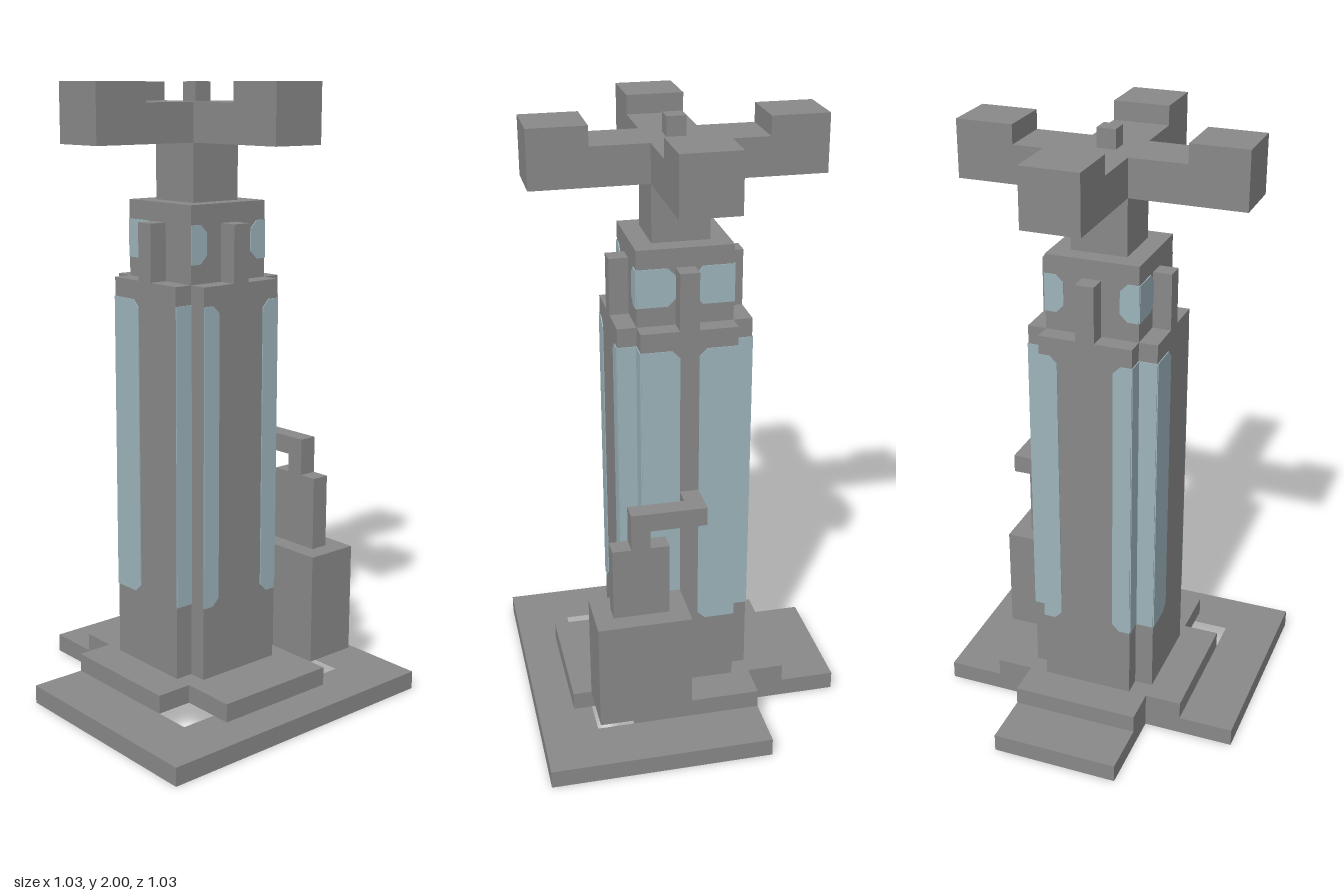
import * as THREE from 'three';

const U = 2 / 33; // one grid cell; all numbers below are in cells

export function createModel() {
  const model = new THREE.Group();
  const stone = new THREE.MeshStandardMaterial({ color: 0x888888 });
  stone.name = 'stone grey';
  const glass = new THREE.MeshStandardMaterial({ color: 0x9cb4bb });
  glass.name = 'pale blue glass';

  const add = (name, geometry, material, parent = model) => {
    const mesh = new THREE.Mesh(geometry, material);
    mesh.name = name;
    parent.add(mesh);
    return mesh;
  };

  // Box from its minimum and maximum corners
  const block = (name, x0, x1, y0, y1, z0, z1, parent) => {
    const mesh = add(name, new THREE.BoxGeometry(x1 - x0, y1 - y0, z1 - z0), stone, parent);
    mesh.position.set((x0 + x1) / 2, (y0 + y1) / 2, (z0 + z1) / 2);
    return mesh;
  };

  // Upright slab from a plan outline of [x, z] points
  const toPoints = (plan) => plan.map(([x, z]) => new THREE.Vector2(x, -z));
  const slab = (name, plan, y0, y1, holes = []) => {
    const shape = new THREE.Shape(toPoints(plan));
    holes.forEach((h) => shape.holes.push(new THREE.Path(toPoints(h))));
    const geometry = new THREE.ExtrudeGeometry(shape, { depth: y1 - y0, bevelEnabled: false });
    geometry.rotateX(-Math.PI / 2).translate(0, y0, 0);
    return add(name, geometry, stone);
  };

  // Plus-shaped plan: wide arm along x, long arm along z
  const cross = (wx, dx, wz, back, front) => [
    [-wx, -dx], [-wz, -dx], [-wz, -back], [wz, -back], [wz, -dx], [wx, -dx],
    [wx, dx], [wz, dx], [wz, front], [-wz, front], [-wz, dx], [-wx, dx],
  ];

  // Stepped base with two square holes near the front
  const hole = (x) => [[x - 1, 3.5], [x + 1, 3.5], [x + 1, 5.5], [x - 1, 5.5]];
  slab('basePlate', [
    [-8.5, -3.5], [-3.5, -3.5], [-3.5, -8.5], [3.5, -8.5],
    [3.5, -3.5], [8.5, -3.5], [8.5, 8.5], [-8.5, 8.5],
  ], 0, 1, [hole(-4.5), hole(4.5)]);
  slab('baseStep', cross(5.5, 3.5, 3.5, 5.5, 6.5), 1, 2);

  // Tower with notched corners, lantern room and neck
  slab('towerShaft', cross(3.5, 2.5, 2.5, 3.5, 3.5), 2, 23);
  block('lanternRoom', -2.5, 2.5, 23, 27, -2.5, 2.5);
  block('neck', -1.5, 1.5, 27, 30, -1.5, 1.5);

  // Crown: four arms with raised ends and a centre knob
  slab('crownArms', cross(7.5, 1.5, 1.5, 7.5, 7.5), 30, 32);
  block('crownKnob', -0.5, 0.5, 32, 33, -0.5, 0.5);

  // Window pane; the inner edge has clipped corners
  const pane = (name, parent, s, inner, outer, y0, y1, face, clip) => {
    const shape = new THREE.Shape([
      [outer, y0], [inner + clip, y0], [inner, y0 + clip],
      [inner, y1 - clip], [inner + clip, y1], [outer, y1],
    ].map(([x, y]) => new THREE.Vector2(s * x, y)));
    const geometry = new THREE.ExtrudeGeometry(shape, { depth: 0.05, bevelEnabled: false });
    add(name, geometry, glass, parent).position.z = face;
  };

  // Repeated parts on each side: front, left, back, right
  ['front', 'left', 'back', 'right'].forEach((label, i) => {
    const side = new THREE.Group();
    side.name = label + 'Side';
    side.rotation.y = (i * Math.PI) / 2;
    model.add(side);
    block('post', -0.5, 0.5, 23, 26, 2.5, 3.5, side);
    block('crownEnd', -1.5, 1.5, 32, 33, 4.5, 7.5, side);
    const inner = i % 2 ? 0.5 : 1.5;
    for (const s of [-1, 1]) {
      if (i === 3 && s === 1) continue; // solid wall here
      pane('tallWindow', side, s, inner, 2.5, 6, 22, 3.5, 0.4);
      pane('cornerWindow', side, s, 2.5, 3.5, 6, 22, 2.5, 0.001);
      pane('lanternWindow', side, s, inner, 2.5, 24, 26, 2.5, 0.4);
    }
  });

  // Side machine with a bent pipe running into the tower
  block('machineBox', 3.5, 6.5, 2, 8, 0.5, 5.5);
  block('machineStack', 4.5, 5.5, 8, 12, 1.5, 4.5);
  block('pipeRiser', 4.5, 5.5, 12, 13, 2.5, 3.5);
  block('pipeRun', 4.5, 5.5, 13, 14, -0.5, 3.5);
  block('pipeInlet', 3.5, 4.5, 13, 14, -0.5, 0.5);

  model.scale.setScalar(U);
  const group = new THREE.Group();
  group.name = 'tower';
  group.add(model);
  return group;
}
